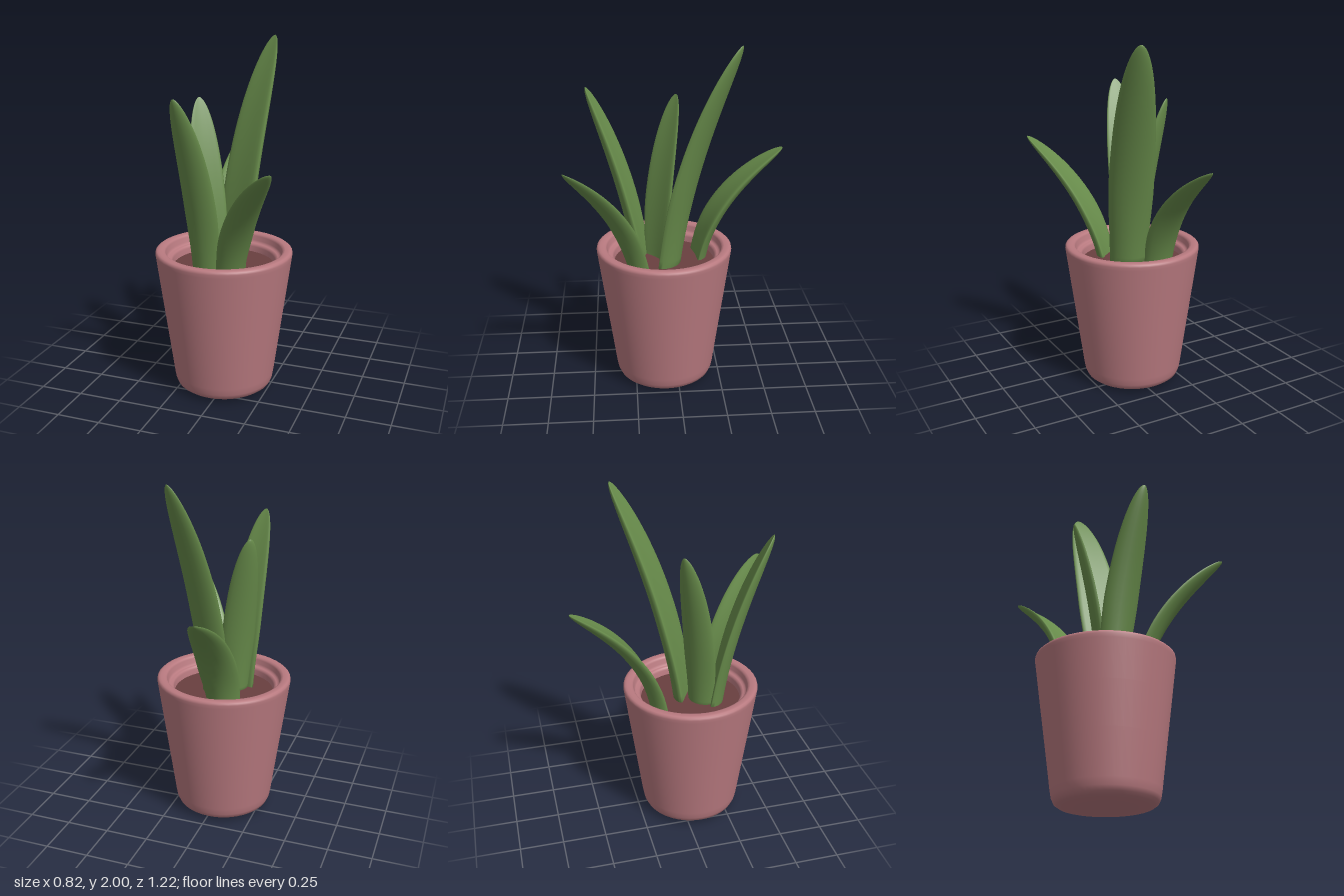
import * as THREE from 'three';

const POT = new THREE.MeshStandardMaterial({ color: 0xb97a80 });
const SOIL = new THREE.MeshStandardMaterial({ color: 0x693f3f });
const LEAF = new THREE.MeshStandardMaterial({ color: 0x688c4b });

const v2 = (list) => list.map(([x, y]) => new THREE.Vector2(x, y));

// Closed, cupped blade swept along a curved spine; "lean" is the way its back faces.
function leafGeometry({ base, bend, tip, lean, half, thick }) {
  const ROWS = 28, SIDES = 20;
  const spine = new THREE.QuadraticBezierCurve3(
    new THREE.Vector3(...base), new THREE.Vector3(...bend), new THREE.Vector3(...tip));
  const across = new THREE.Vector3(-lean[1], 0, lean[0]).normalize();
  const positions = [], index = [];
  for (let i = 0; i <= ROWS; i++) {
    // rows gather towards the tip so that it stays round
    const t = Math.sin((i / ROWS) * Math.PI / 2);
    const p = spine.getPoint(t);
    const tangent = spine.getTangent(t);
    const w = across.clone().addScaledVector(tangent, -across.dot(tangent)).normalize();
    const n = tangent.clone().cross(w);
    const taper = Math.pow(Math.max(0, 1 - t ** 3.4), 0.56);
    const swell = 0.82 + 0.18 * THREE.MathUtils.smoothstep(t, 0, 0.4);
    for (let j = 0; j < SIDES; j++) {
      const a = (j / SIDES) * Math.PI * 2;
      const c = Math.cos(a), s = Math.sin(a);
      // rounded back, flatter channelled front
      const depth = (s > 0 ? s : 0.55 * s) * thick + 0.022 * (0.5 - c * c);
      const q = p.clone().addScaledVector(w, c * half * taper * swell)
        .addScaledVector(n, depth * taper);
      positions.push(q.x, q.y, q.z);
    }
  }
  for (let i = 0; i < ROWS; i++) {
    for (let j = 0; j < SIDES; j++) {
      const k = (j + 1) % SIDES;
      const a = i * SIDES + j, b = i * SIDES + k;
      const c = b + SIDES, d = a + SIDES;
      index.push(a, b, c, a, c, d);
    }
  }
  // close the buried end
  for (let j = 1; j < SIDES - 1; j++) index.push(0, j + 1, j);
  const g = new THREE.BufferGeometry();
  g.setAttribute('position', new THREE.Float32BufferAttribute(positions, 3));
  g.setIndex(index);
  g.computeVertexNormals();
  return g;
}

export function createModel() {
  const model = new THREE.Group();
  model.name = 'pottedPlant';

  // Pot: tapered wall, rounded foot, soft lip and an inner step
  const pot = new THREE.Group();
  pot.name = 'pot';
  pot.position.set(-0.02, 0, 0.073);
  const profile = v2([
    [0, 0], [0.14, 0.004], [0.225, 0.01], [0.255, 0.016], [0.274, 0.03], [0.285, 0.055],
    [0.292, 0.095], [0.325, 0.34], [0.358, 0.58], [0.387, 0.795],
    [0.39, 0.815], [0.388, 0.827], [0.38, 0.834], [0.368, 0.836],
    [0.348, 0.835], [0.337, 0.83], [0.331, 0.82], [0.327, 0.795], [0.32, 0.783],
    [0.308, 0.782], [0.298, 0.778], [0.292, 0.766], [0.288, 0.72],
  ]);
  const wall = new THREE.Mesh(new THREE.LatheGeometry(profile, 48), POT);
  wall.name = 'potWall';
  const soil = new THREE.Mesh(new THREE.CircleGeometry(0.291, 48), SOIL);
  soil.name = 'soil';
  soil.rotation.x = -Math.PI / 2;
  soil.position.y = 0.735;
  pot.add(wall, soil);
  model.add(pot);

  // Leaves
  const leaves = [
    { name: 'tallLeaf', base: [0.02, 0.7, 0.05], bend: [0.04, 1.4, -0.03], tip: [0.145, 2, -0.33], lean: [0.5, -0.86], half: 0.13, thick: 0.05 },
    { name: 'backLeaf', base: [-0.09, 0.7, -0.12], bend: [-0.06, 1.12, -0.17], tip: [-0.1, 1.38, -0.61], lean: [-0.15, -0.98], half: 0.115, thick: 0.042 },
    { name: 'rightLeaf', base: [-0.07, 0.7, 0.12], bend: [-0.1, 1.2, 0.11], tip: [-0.195, 1.675, -0.01], lean: [-0.65, -0.76], half: 0.105, thick: 0.038 },
    { name: 'frontLeaf', base: [-0.085, 0.7, 0.19], bend: [-0.08, 1.25, 0.26], tip: [-0.135, 1.735, 0.495], lean: [-0.26, 0.96], half: 0.108, thick: 0.045 },
    { name: 'cornerLeaf', base: [0.07, 0.7, 0.22], bend: [0.12, 1.12, 0.3], tip: [0.4, 1.415, 0.605], lean: [0.64, 0.76], half: 0.1, thick: 0.04 },
  ];
  for (const leaf of leaves) {
    const mesh = new THREE.Mesh(leafGeometry(leaf), LEAF);
    mesh.name = leaf.name;
    model.add(mesh);
  }
  return model;
}
